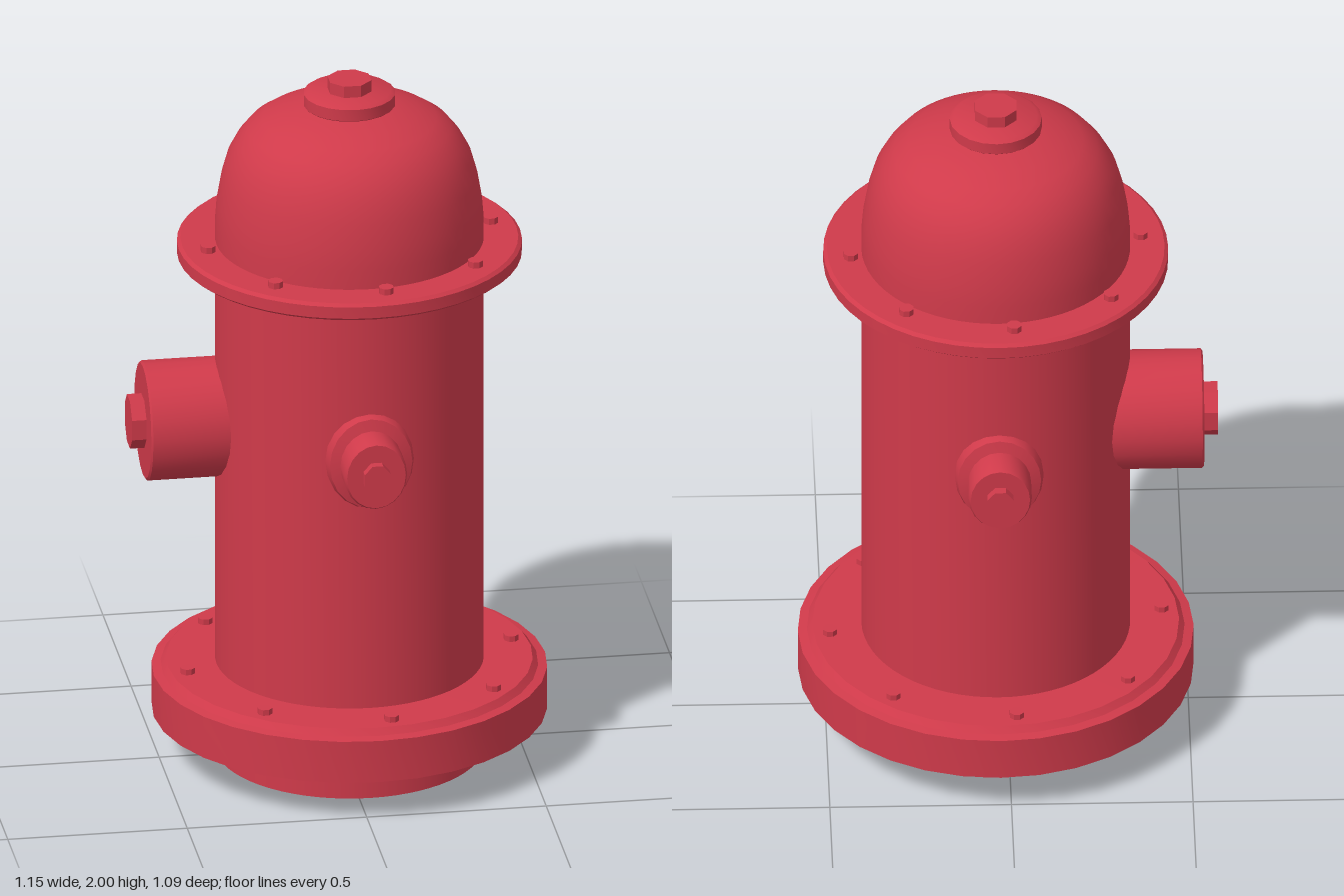
import * as THREE from 'three';
import { toCreasedNormals } from 'three/addons/utils/BufferGeometryUtils.js';

const red = new THREE.MeshStandardMaterial({ color: 0xcf3a4a });

// Turned part from [radius, height] pairs, listed bottom to top
function turned(name, profile, sides) {
  const points = profile.map(([r, y]) => new THREE.Vector2(r, y));
  const mesh = new THREE.Mesh(toCreasedNormals(new THREE.LatheGeometry(points, sides), 0.65), red);
  mesh.name = name;
  return mesh;
}

// Flat-sided nut or bolt standing between two heights
function nut(name, radius, y0, y1, sides = 8) {
  const geometry = new THREE.CylinderGeometry(radius, radius, y1 - y0, sides);
  geometry.rotateY(Math.PI / sides);
  geometry.translate(0, (y0 + y1) / 2, 0);
  const mesh = new THREE.Mesh(toCreasedNormals(geometry, 0.5), red);
  mesh.name = name;
  return mesh;
}

function boltRing(name, ringRadius, y0, y1) {
  const ring = new THREE.Group();
  ring.name = name;
  for (let i = 0; i < 8; i++) {
    const angle = -0.1 + (i * Math.PI) / 4;
    const bolt = nut('bolt', 0.021, y0, y1);
    bolt.position.set(Math.cos(angle) * ringRadius, 0, Math.sin(angle) * ringRadius);
    ring.add(bolt);
  }
  return ring;
}

export function createModel() {
  const hydrant = new THREE.Group();
  hydrant.name = 'hydrant';
  hydrant.position.x = 0.03;

  // Barrel and domed bonnet
  hydrant.add(
    turned('barrel', [[0, 0], [0.37, 0], [0.37, 1.5]], 64),
    turned('bonnet', [
      [0.37, 1.5], [0.37, 1.58], [0.365, 1.64], [0.353, 1.71], [0.336, 1.77], [0.312, 1.815],
      [0.28, 1.855], [0.24, 1.882], [0.19, 1.903], [0.13, 1.922], [0, 1.93],
    ], 64),
  );

  // Stepped base flange
  hydrant.add(
    turned('baseFlange', [
      [0.36, 0.1], [0.48, 0.1], [0.48, 0.122], [0.545, 0.122],
      [0.545, 0.245], [0.52, 0.25], [0.505, 0.268], [0.36, 0.27],
    ], 32),
    boltRing('baseBolts', 0.46, 0.25, 0.285),
  );

  // Bonnet flange, bolted through
  hydrant.add(
    turned('bonnetFlange', [
      [0.36, 1.475], [0.465, 1.475], [0.475, 1.483], [0.475, 1.517], [0.465, 1.525], [0.36, 1.525],
    ], 48),
    boltRing('bonnetBolts', 0.402, 1.46, 1.543),
  );

  // Operating nut on top
  hydrant.add(
    turned('topCap', [[0.1, 1.9], [0.127, 1.925], [0.127, 1.958], [0.115, 1.966], [0, 1.966]], 20),
    nut('topNut', 0.062, 1.95, 2),
  );

  // Small hose outlets, front and back
  for (const side of [1, -1]) {
    const outlet = new THREE.Group();
    outlet.name = side > 0 ? 'frontOutlet' : 'backOutlet';
    outlet.add(
      turned('collar', [[0.14, 0.3], [0.14, 0.37], [0.132, 0.388], [0.1, 0.396]], 20),
      turned('outletCap', [[0.1, 0.36], [0.1, 0.472], [0.094, 0.482], [0, 0.482]], 20),
      nut('outletNut', 0.045, 0.47, 0.507),
    );
    outlet.rotation.x = (side * Math.PI) / 2;
    outlet.position.y = 1.01;
    outlet.scale.x = 0.87;
    hydrant.add(outlet);
  }

  // Large pumper outlet on the right
  const pumper = new THREE.Group();
  pumper.name = 'pumperOutlet';
  pumper.add(
    turned('pumperCap', [[0.168, 0.25], [0.168, 0.565], [0.162, 0.57], [0, 0.57]], 20),
    nut('pumperNut', 0.076, 0.55, 0.61),
  );
  pumper.rotation.z = Math.PI / 2;
  pumper.position.set(0, 0.997, -0.035);
  pumper.scale.z = 0.94;
  hydrant.add(pumper);

  const model = new THREE.Group();
  model.name = 'fireHydrant';
  model.add(hydrant);
  return model;
}
